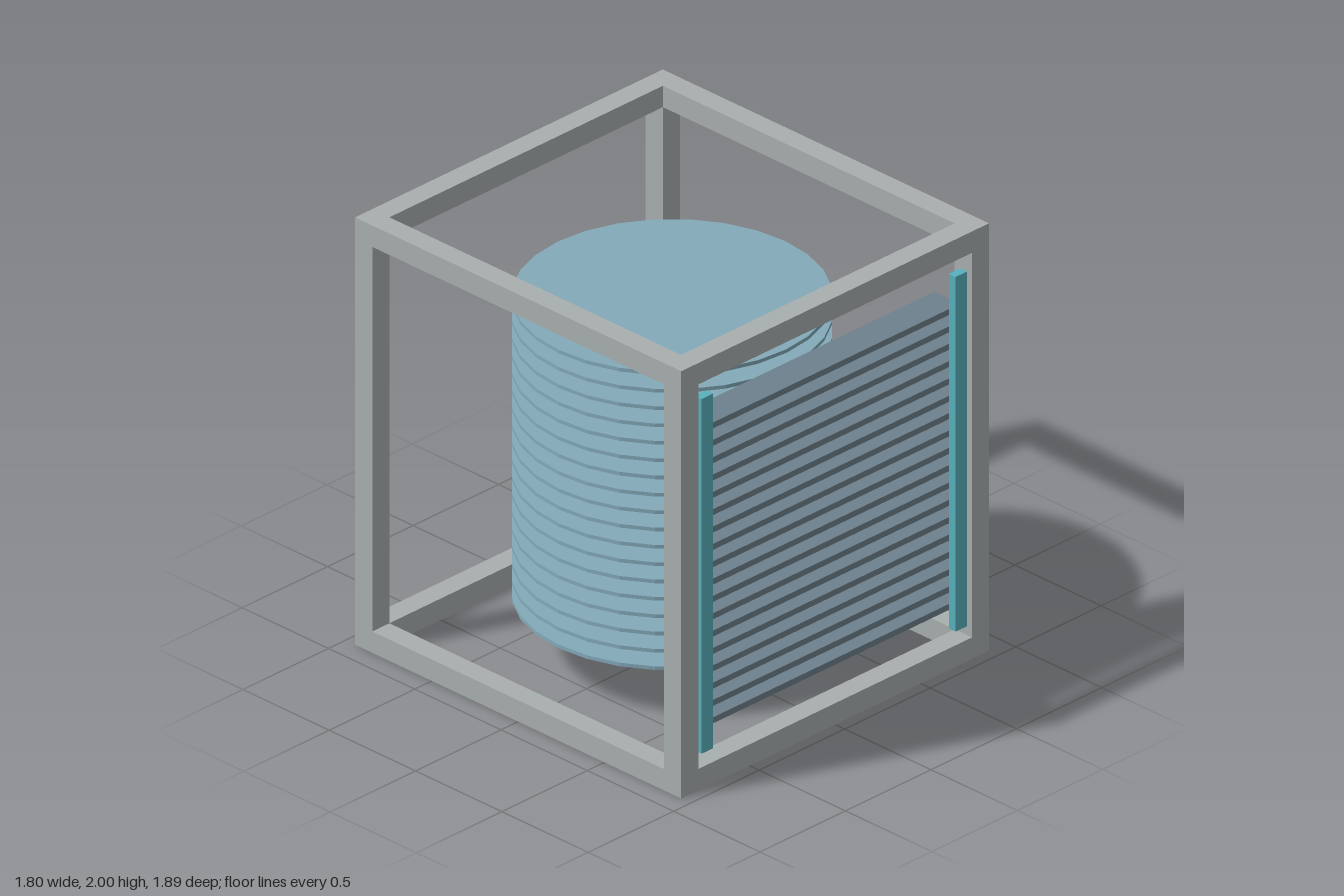
import * as THREE from 'three';

const material = (name, color) => {
  const m = new THREE.MeshStandardMaterial({ color });
  m.name = name;
  return m;
};

export function createModel() {
  const model = new THREE.Group();
  model.name = 'framedDiscStack';

  const frameGrey = material('frameGrey', 0xa8aeaf);
  const slatGrey = material('slatGrey', 0x6d818c);
  const railTeal = material('railTeal', 0x58b1bd);
  const discBlue = material('discBlue', 0x84aaba);
  discBlue.flatShading = true;

  const group = (name) => {
    const g = new THREE.Group();
    g.name = name;
    model.add(g);
    return g;
  };
  const add = (parent, name, geometry, mat, x, y, z) => {
    const mesh = new THREE.Mesh(geometry, mat);
    mesh.name = name;
    mesh.position.set(x, y, z);
    parent.add(mesh);
  };

  // Open box frame of square bars
  const W = 1.8, H = 2, D = 1.89, T = 0.1;
  const frame = group('frame');
  const post = new THREE.BoxGeometry(T, H, T);
  const crossBar = new THREE.BoxGeometry(W - 2 * T, T, T);
  const sideBar = new THREE.BoxGeometry(T, T, D - 2 * T);
  const px = (W - T) / 2, pz = (D - T) / 2;
  for (const a of [-1, 1]) {
    for (const b of [-1, 1]) {
      const y = b < 0 ? T / 2 : H - T / 2;
      add(frame, 'post', post, frameGrey, a * px, H / 2, b * pz);
      add(frame, 'crossBar', crossBar, frameGrey, 0, y, a * pz);
      add(frame, 'sideBar', sideBar, frameGrey, a * px, y, 0);
    }
  }

  // Stack of thin discs with a matching row of slats in front
  const discs = group('discStack');
  const slats = group('slats');
  const disc = new THREE.CylinderGeometry(0.662, 0.662, 0.017, 28);
  const slat = new THREE.BoxGeometry(1.55, 0.028, 0.15);
  const count = 18, bottom = 0.26, top = 1.64;
  for (let i = 0; i < count; i++) {
    const y = bottom + (top - bottom) * i / (count - 1);
    add(discs, 'disc', disc, discBlue, 0, y, 0);
    add(slats, 'slat', slat, slatGrey, 0, y, 0.825);
  }

  // Upright rails holding the slat ends
  const rails = group('rails');
  const rail = new THREE.BoxGeometry(0.066, 1.66, 0.04);
  for (const s of [-1, 1]) add(rails, 'rail', rail, railTeal, s * 0.743, 0.99, 0.92);

  return model;
}
